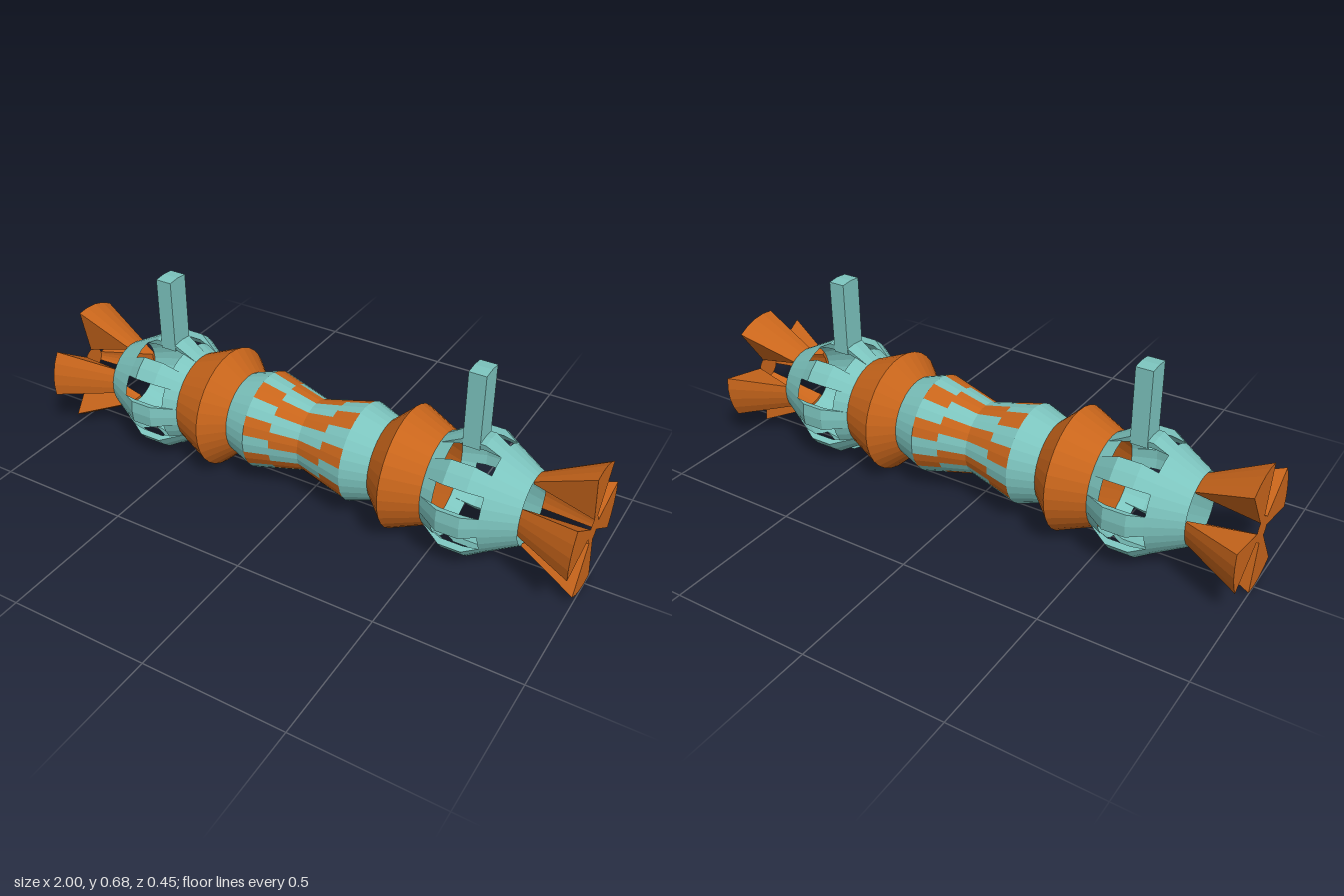
import * as THREE from 'three';

const AXIS = 0.224;            // height of the long axis
const SEG = Math.PI / 16;      // 32 sides around the body

const makeMaterial = (color) =>
  new THREE.MeshStandardMaterial({ color, flatShading: true, side: THREE.DoubleSide });
const teal = makeMaterial(0x7cc4be);
const orange = makeMaterial(0xc8651b);

// Turns a profile of [x, radius] points about the long axis, over some of the 32 sides.
// Sides count from the top towards the front. s mirrors it in x.
function turned(profile, start, count, s) {
  const pts = profile.map(([x, r]) => new THREE.Vector2(r, x * s));
  const g = new THREE.LatheGeometry(pts, count, start * SEG - Math.PI / 2, count * SEG);
  return g.rotateZ(-Math.PI / 2).translate(0, AXIS, 0);
}

function addMesh(parent, name, geometry, material) {
  const mesh = new THREE.Mesh(geometry, material);
  mesh.name = name;
  parent.add(mesh);
  return mesh;
}

// A closed profile turned through a few sides, with flat cheeks on both ends
function addWedge(parent, name, profile, start, count, s, material) {
  const wedge = new THREE.Group();
  wedge.name = name;
  addMesh(wedge, name + 'Body', turned([...profile, profile[0]], start, count, s), material);
  const shape = new THREE.Shape(profile.map(([x, r]) => new THREE.Vector2(x * s, r)));
  for (const side of [start, start + count]) {
    const cheek = new THREE.ShapeGeometry(shape).rotateX(side * SEG).translate(0, AXIS, 0);
    addMesh(wedge, name + 'Cheek', cheek, material);
  }
  parent.add(wedge);
}

// Upright post with a slightly ridged top
function postGeometry(s) {
  const shape = new THREE.Shape([
    [-0.042, 0.41], [0.042, 0.41], [0.042, 0.681], [0, 0.685], [-0.042, 0.681],
  ].map(([z, y]) => new THREE.Vector2(z, y)));
  const g = new THREE.ExtrudeGeometry(shape, { depth: 0.06, bevelEnabled: false });
  return g.translate(0, 0, -0.03).rotateY(Math.PI / 2).translate(0.59 * s, 0, 0);
}

// Waisted grip in the middle, with stepped inlaid strips
function buildGrip(s) {
  const grip = new THREE.Group();
  grip.name = 'grip';
  addMesh(grip, 'gripShoulder', turned([[0.19, 0.178], [0.28, 0.147]], 0, 32, s), teal);
  for (let i = 0; i < 8; i++) {
    const outer = [[0.1, 0.155], [0.19, 0.178]];
    const inner = [[0, 0.13], [0.1, 0.155]];
    addMesh(grip, 'outerInlay', turned(outer, i * 4 + 1, 2, s), orange);
    addMesh(grip, 'outerStrip', turned(outer, i * 4 + 3, 2, s), teal);
    addMesh(grip, 'innerInlay', turned(inner, i * 4 + 2, 2, s), orange);
    addMesh(grip, 'innerStrip', turned(inner, i * 4 + 4, 2, s), teal);
  }
  return grip;
}

// Barrel cage with eight raised bars, open windows between them, and a post on top
function buildCage(s) {
  const cage = new THREE.Group();
  cage.name = 'cage';
  addMesh(cage, 'cageNose', turned([[0.69, 0.185], [0.8, 0.125]], 0, 32, s), teal);
  addMesh(cage, 'cageCollar', turned([[0.48, 0.165], [0.53, 0.186]], 0, 32, s), teal);
  const bar = [[0.69, 0.185], [0.64, 0.215], [0.56, 0.215], [0.48, 0.165], [0.56, 0.193], [0.64, 0.193]];
  for (let i = 0; i < 8; i++) addWedge(cage, 'cageBar', bar, i * 4 - 1, 2, s, teal);
  addMesh(cage, 'post', postGeometry(s), teal);
  return cage;
}

// Four flared blades meeting at a small hub
function buildFlare(s) {
  const flare = new THREE.Group();
  flare.name = 'flare';
  const blade = [[0.8, 0.125], [1, 0.223], [1, 0.045], [0.8, 0.115]];
  for (let i = 0; i < 4; i++) addWedge(flare, 'blade', blade, i * 8 - 3, 4, s, orange);
  addMesh(flare, 'hub', turned([[1, 0], [1, 0.045]], 0, 32, s), orange);
  return flare;
}

export function createModel() {
  const model = new THREE.Group();
  model.name = 'model';
  for (const s of [1, -1]) {
    const half = new THREE.Group();
    half.name = s > 0 ? 'leftHalf' : 'rightHalf';
    half.add(buildGrip(s), buildCage(s), buildFlare(s));
    addMesh(half, 'collarRing', turned([[0.28, 0.147], [0.355, 0.219], [0.48, 0.165]], 0, 32, s), orange);
    model.add(half);
  }
  return model;
}
